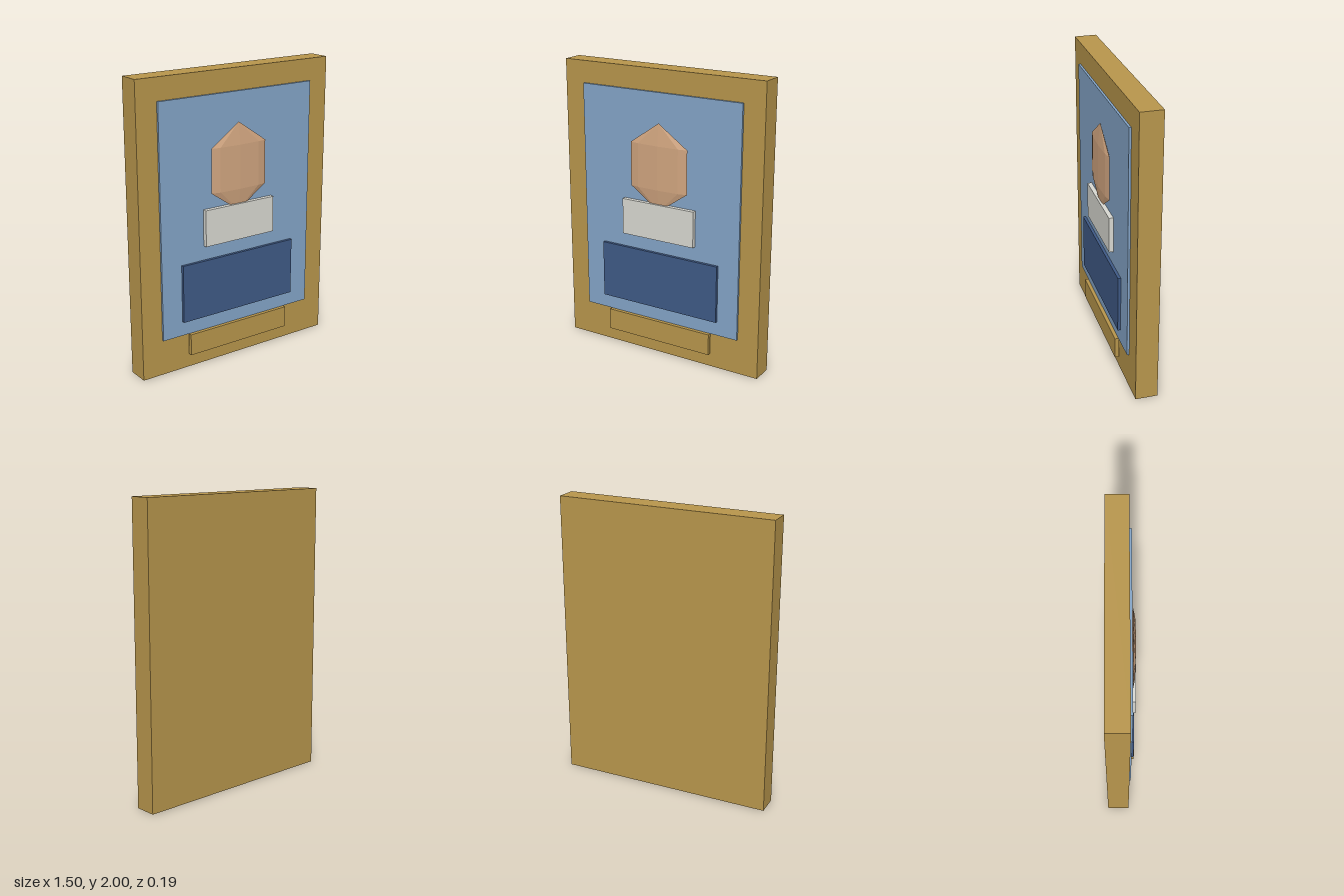
import * as THREE from 'three';

const material = (color) => new THREE.MeshStandardMaterial({ color, flatShading: true });

// Box given by its width, vertical range and depth range, centred on x = 0
function slab(name, mat, width, [y0, y1], [z0, z1]) {
  const mesh = new THREE.Mesh(new THREE.BoxGeometry(width, y1 - y0, z1 - z0), mat);
  mesh.name = name;
  mesh.position.set(0, (y0 + y1) / 2, (z0 + z1) / 2);
  return mesh;
}

export function createModel() {
  const model = new THREE.Group();
  model.name = 'framedPortrait';
  const gold = material(0xb8964c);

  // Thick frame board with the painted panel on its front
  model.add(
    slab('frame', gold, 1.5, [0, 2], [-0.0975, 0.0525]),
    slab('canvas', material(0x84a5c8), 1.2, [0.25, 1.85], [0.0475, 0.0675]),
  );

  // Raised torso, collar and name plate
  model.add(
    slab('torso', material(0x3f5a86), 0.9, [0.35, 0.75], [0.0665, 0.0875]),
    slab('collar', material(0xd9d9d2), 0.55, [0.85, 1.1], [0.0665, 0.0975]),
    slab('namePlate', gold, 0.8, [0.1, 0.25], [0.065, 0.0925]),
  );

  // Faceted head, flattened against the canvas
  const head = new THREE.Mesh(new THREE.SphereGeometry(1, 8, 3), material(0xd2a680));
  head.name = 'head';
  head.scale.set(0.25, 0.3, 0.02);
  head.position.set(0, 1.35, 0.0775);
  model.add(head);

  return model;
}
